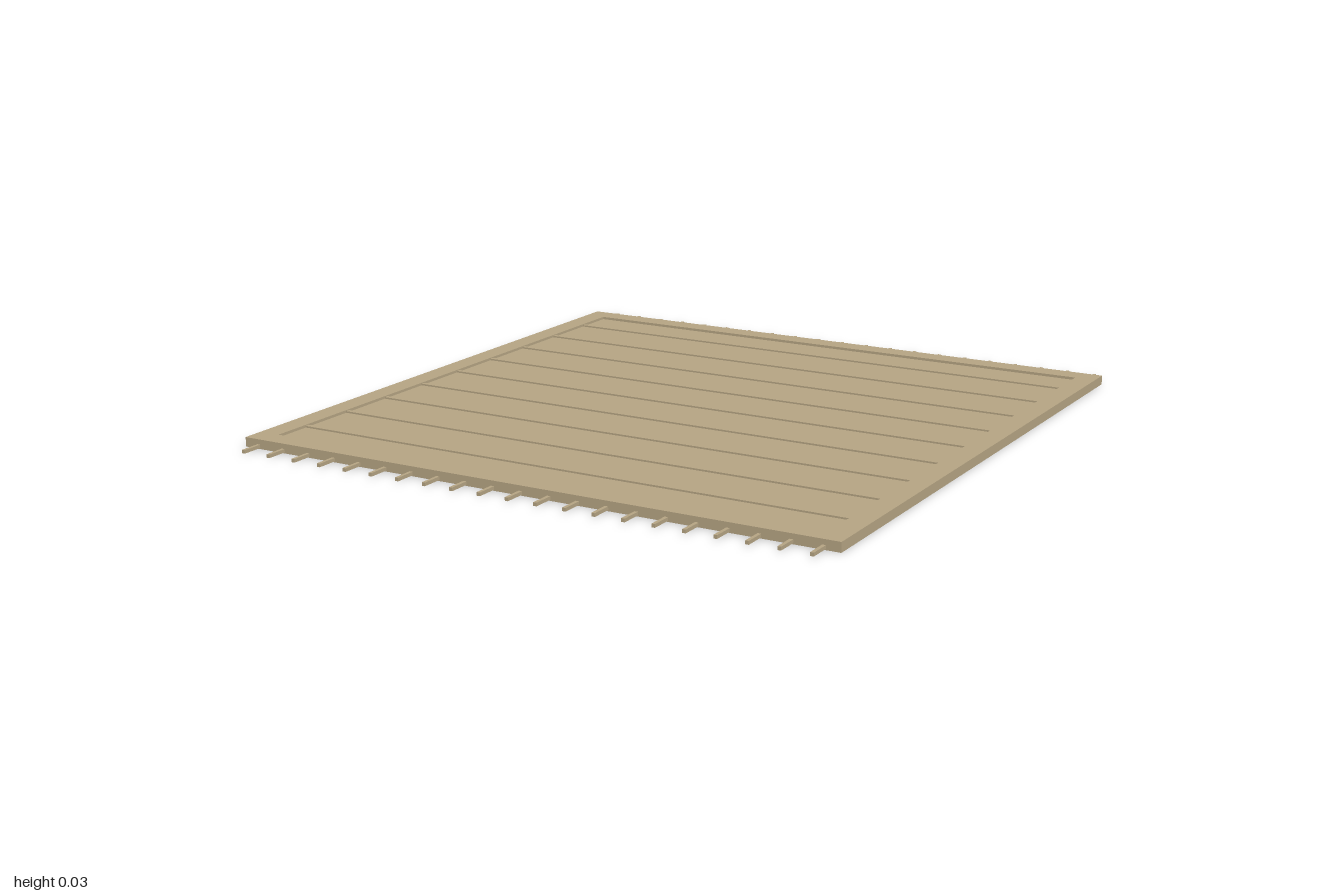
import * as THREE from 'three';

const HALF = 0.935;    // half side of the square rug
const INNER = 0.87;    // half side of the field inside the border
const BASE = 0.02;     // height of the woven base
const TOP = 0.028;     // height of the raised border

export function createModel() {
  const rug = new THREE.Group();
  rug.name = 'rug';
  const wool = new THREE.MeshStandardMaterial({ color: 0xb5a483 });

  const add = (name, geometry, x, y, z, parent = rug) => {
    const mesh = new THREE.Mesh(geometry, wool);
    mesh.name = name;
    mesh.position.set(x, y, z);
    parent.add(mesh);
    return mesh;
  };
  const square = (Type, h) => new Type([
    new THREE.Vector2(-h, -h), new THREE.Vector2(h, -h),
    new THREE.Vector2(h, h), new THREE.Vector2(-h, h),
  ]);

  // Flat woven base
  add('base', new THREE.BoxGeometry(HALF * 2, BASE, HALF * 2), 0, BASE / 2, 0);

  // Raised border frame
  const frame = square(THREE.Shape, HALF);
  frame.holes.push(square(THREE.Path, INNER));
  const frameGeometry = new THREE.ExtrudeGeometry(frame, { depth: TOP - BASE, bevelEnabled: false });
  frameGeometry.rotateX(-Math.PI / 2);
  add('border', frameGeometry, 0, BASE, 0);

  // Thin raised stripes across the field
  const stripes = new THREE.Group();
  stripes.name = 'stripes';
  rug.add(stripes);
  const stripeGeometry = new THREE.BoxGeometry(INNER * 2, 0.005, 0.014);
  for (let i = -4; i <= 4; i++) {
    add('stripe', stripeGeometry, 0, BASE + 0.0025, i * 0.186, stripes);
  }

  // Tassels along the front and back edges
  const tasselGeometry = new THREE.BoxGeometry(0.01, 0.01, 0.075);
  for (const side of [1, -1]) {
    const fringe = new THREE.Group();
    fringe.name = side > 0 ? 'frontFringe' : 'backFringe';
    rug.add(fringe);
    for (let i = -10; i <= 10; i++) {
      add('tassel', tasselGeometry, i * 0.0888, 0.008, side * 0.9625, fringe);
    }
  }
  return rug;
}
